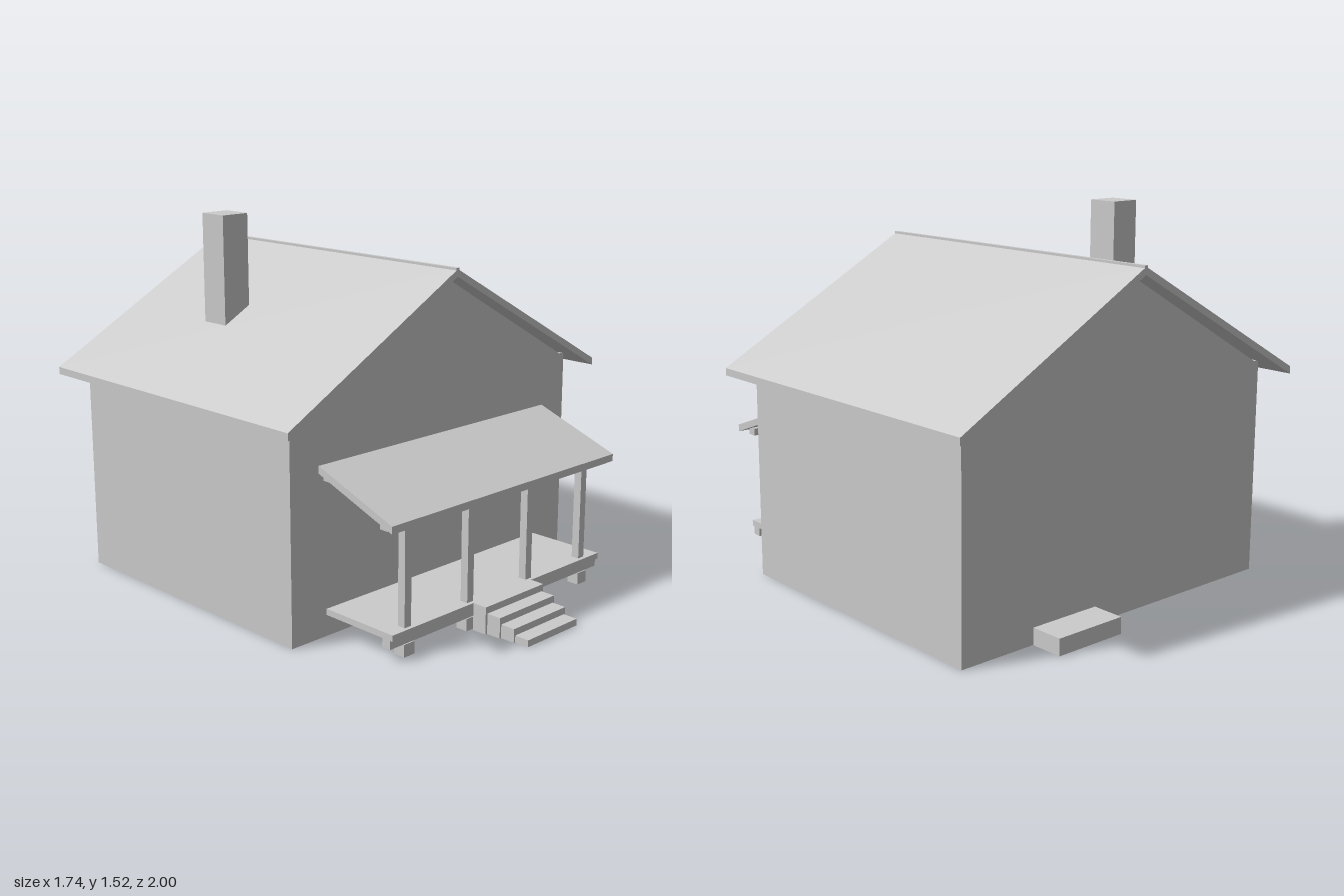
import * as THREE from 'three';

export function createModel() {
  const model = new THREE.Group();
  const material = new THREE.MeshStandardMaterial({ color: 0xcccccc, flatShading: true });

  const add = (name, geometry) => {
    const mesh = new THREE.Mesh(geometry, material);
    mesh.name = name;
    model.add(mesh);
    return mesh;
  };

  // Box given by its extents along each axis
  const box = (name, [x0, x1], [y0, y1], [z0, z1]) => {
    const mesh = add(name, new THREE.BoxGeometry(x1 - x0, y1 - y0, z1 - z0));
    mesh.position.set((x0 + x1) / 2, (y0 + y1) / 2, (z0 + z1) / 2);
    return mesh;
  };

  // Outline extruded from z0 to z1
  const prism = (name, points, z0, z1) => {
    const shape = new THREE.Shape(points.map(([x, y]) => new THREE.Vector2(x, y)));
    const geometry = new THREE.ExtrudeGeometry(shape, { depth: z1 - z0, bevelEnabled: false });
    geometry.translate(0, 0, z0);
    return add(name, geometry);
  };

  // House body and gable
  const front = 0.4, back = -0.865;
  box('houseBody', [-0.785, 0.785], [0, 0.87], [back, front]);
  prism('gable', [[-0.785, 0.87], [0.785, 0.87], [0, 1.315]], back - 0.003, front + 0.003);

  // Roof slopes, wall plates and ridge
  for (const [side, s] of [['left', 1], ['right', -1]]) {
    const outline = [[0, 1.315], [0.87 * s, 0.835], [0.87 * s, 0.865], [0, 1.345]];
    prism(side + 'RoofSlope', outline, -0.96, 0.49);
    const plate = [0.755 * s, 0.785 * s].sort((a, b) => a - b);
    box(side + 'WallPlate', plate, [0.87, 0.887], [back, front]);
  }
  box('ridgeCap', [-0.008, 0.008], [1.33, 1.35], [-0.96, 0.49]);

  // Chimney
  box('chimney', [-0.485, -0.36], [1.05, 1.52], [-0.455, -0.325]);

  // Porch roof, its profile drawn in z and y, turned to run along x
  const porchRoof = prism('porchRoof', [[-0.4, 0.65], [-0.4, 0.68], [-0.78, 0.54], [-0.78, 0.51]], -0.645, 0.645);
  porchRoof.rotation.y = Math.PI / 2;
  box('porchRoofLedger', [-0.62, 0.62], [0.617, 0.648], [front, 0.428]);
  box('porchBeam', [-0.62, 0.62], [0.503, 0.533], [0.695, 0.735]);

  // Porch deck with posts and piers
  box('porchDeck', [-0.61, 0.61], [0.085, 0.11], [front, 0.75]);
  box('deckBeam', [-0.61, 0.61], [0.05, 0.085], [0.697, 0.737]);
  for (const x of [-0.515, -0.173, 0.173, 0.515]) {
    box('porchPost', [x - 0.017, x + 0.017], [0.11, 0.503], [0.7, 0.734]);
    box('porchPier', [x - 0.027, x + 0.027], [0, 0.05], [0.69, 0.742]);
  }

  // Front steps, narrowing toward the ground
  [0.172, 0.162, 0.154, 0.146].forEach((half, i) => {
    const z = 0.75 + i * 0.0625;
    box('frontStep', [-half, half], [0, 0.11 - i * 0.0275], [z, z + 0.0625]);
  });

  // Back door step
  box('backStep', [0.13, 0.445], [0, 0.067], [-1, back]);

  return model;
}
